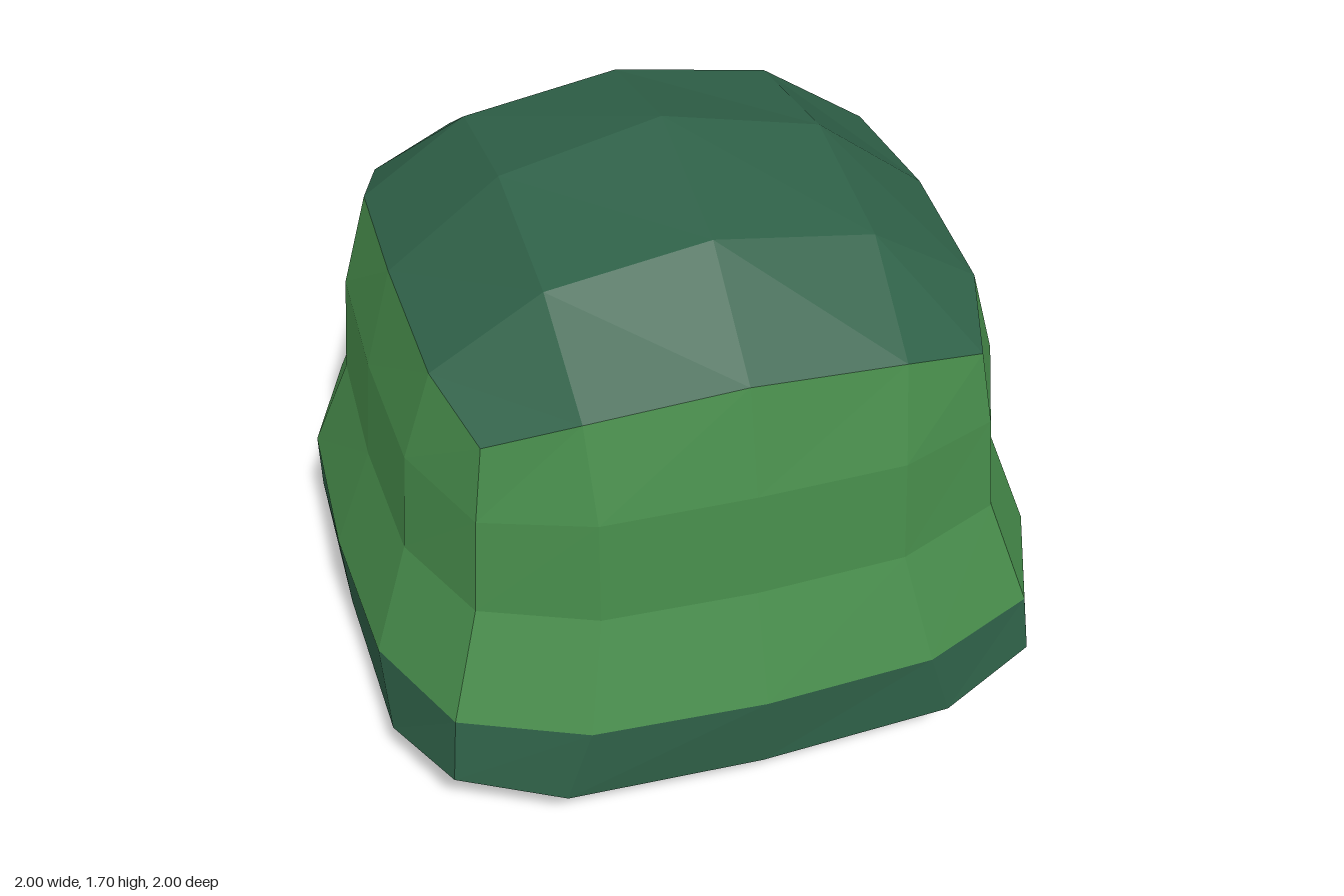
import * as THREE from 'three';

// Each ring is a rounded square: [outward, sideways, height] at side middle, quarter and corner.
const ring = (mid, midY, q, qOut, qY, c, cY) => [[mid, 0, midY], [qOut, q, qY], [c, c, cY]];

const wallRings = [
  ring(0.998, 0.425, 0.49, 0.975, 0.43, 0.832, 0.44),
  ring(0.885, 0.735, 0.43, 0.868, 0.737, 0.74, 0.742),
  ring(0.86, 1.05, 0.425, 0.845, 1.045, 0.72, 1.03),
  ring(0.78, 1.353, 0.44, 0.765, 1.32, 0.69, 1.246),
];
const baseRing = ring(0.977, 0.183, 0.56, 0.965, 0.2, 0.85, 0.25);

// Caps run from the centre outwards: centre, inner ring, outer ring.
const crownRings = [[[0, 0, 1.708]], [[0.46, 0, 1.6], [0.455, 0.455, 1.525]], wallRings[3]];
const baseRings = [[[0, 0, 0.003]], [[0.6, 0, 0.045], [0.6, 0.6, 0.08]], baseRing];

// Point of a ring at grid cell corner (i, j), both from -2 to 2.
function gridPoint(r, i, j) {
  const a = Math.abs(i), b = Math.abs(j);
  const [out, side, y] = r[Math.min(a, b)];
  const lean = y < 0.3 ? 0.013 : 0; // the underside tilts very slightly
  const x = Math.sign(i) * (a >= b ? out : side);
  const z = Math.sign(j) * (b >= a ? out : side);
  return [x, y + lean * x, z];
}

// Perimeter of the grid, left to right as seen from outside each side.
const perimeter = [];
for (let k = -2; k < 2; k++) perimeter.push([k, 2]);
for (let k = 2; k > -2; k--) perimeter.push([2, k]);
for (let k = 2; k > -2; k--) perimeter.push([k, -2]);
for (let k = -2; k < 2; k++) perimeter.push([-2, k]);

function facetMesh(name, quads, material) {
  const positions = [];
  for (const [a, b, c, d] of quads) positions.push(...a, ...b, ...c, ...a, ...c, ...d);
  const geometry = new THREE.BufferGeometry();
  geometry.setAttribute('position', new THREE.Float32BufferAttribute(positions, 3));
  geometry.computeVertexNormals();
  const mesh = new THREE.Mesh(geometry, material);
  mesh.name = name;
  return mesh;
}

// Band of facets between stacked rings, lowest first.
function bandQuads(rings) {
  const quads = [];
  for (let r = 0; r + 1 < rings.length; r++) {
    perimeter.forEach((p, k) => {
      const n = perimeter[(k + 1) % perimeter.length];
      quads.push([gridPoint(rings[r], ...p), gridPoint(rings[r], ...n),
        gridPoint(rings[r + 1], ...n), gridPoint(rings[r + 1], ...p)]);
    });
  }
  return quads;
}

// Domed 4 x 4 grid of facets facing up or down.
function capQuads(rings, up) {
  const at = (i, j) => gridPoint(rings[Math.max(Math.abs(i), Math.abs(j))], i, j);
  const quads = [];
  for (let i = -2; i < 2; i++) {
    for (let j = -2; j < 2; j++) {
      const quad = [at(i, j), at(i, j + 1), at(i + 1, j + 1), at(i + 1, j)];
      quads.push(up ? quad : quad.reverse());
    }
  }
  return quads;
}

export function createModel() {
  const leafGreen = new THREE.MeshStandardMaterial({ color: 0x478c4b });
  leafGreen.name = 'leafGreen';
  const deepTeal = new THREE.MeshStandardMaterial({ color: 0x2f6148 });
  deepTeal.name = 'deepTeal';

  const group = new THREE.Group();
  group.name = 'roundedBlock';
  group.add(
    facetMesh('crown', capQuads(crownRings, true), deepTeal),
    facetMesh('wall', bandQuads(wallRings), leafGreen),
    facetMesh('rim', bandQuads([baseRing, wallRings[0]]), deepTeal),
    facetMesh('underside', capQuads(baseRings, false), deepTeal),
  );
  return group;
}
